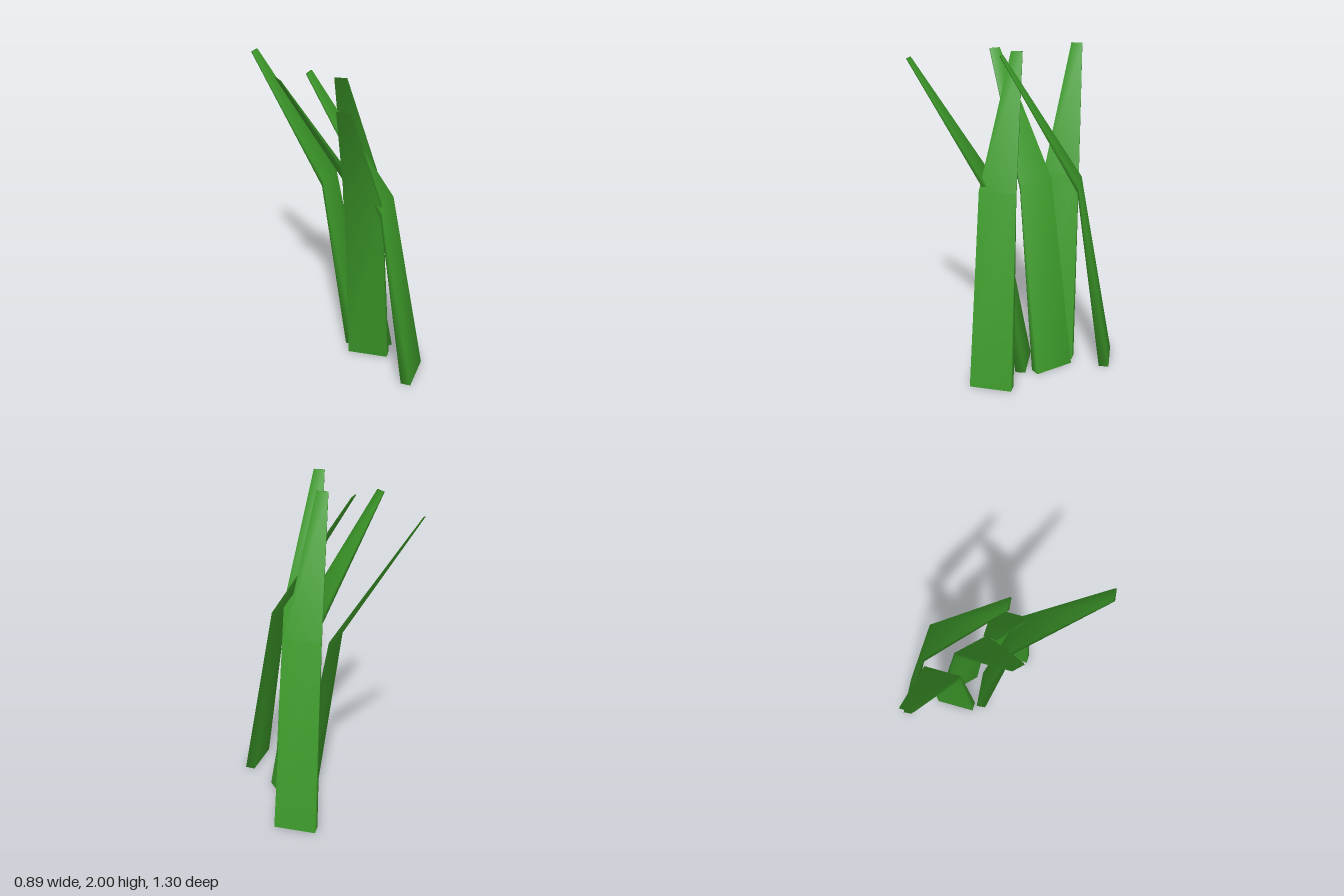
import * as THREE from 'three';

// Bent blade: rings run outer-left, inner-left, inner-right, outer-right.
// Local x is the width, local +z the direction in which the blade leans.
function bladeGeometry() {
  const rings = [
    { half: 0.134, outer: [0, 0], inner: [0.065, 0] },
    { half: 0.116, outer: [0.222, 1.225], inner: [0.232, 1.19] },
    { half: 0.037, outer: [0.711, 2], inner: [0.72, 2] },
  ];
  const positions = [];
  const index = [];
  for (const { half, outer, inner } of rings) {
    positions.push(-half, outer[1], outer[0], -half, inner[1], inner[0]);
    positions.push(half, inner[1], inner[0], half, outer[1], outer[0]);
  }
  // Sides
  for (let r = 0; r < rings.length - 1; r++) {
    for (let i = 0; i < 4; i++) {
      const a = r * 4 + i;
      const b = r * 4 + ((i + 1) % 4);
      index.push(a, b, b + 4, a, b + 4, a + 4);
    }
  }
  // Bottom and tip caps
  const top = (rings.length - 1) * 4;
  index.push(0, 2, 1, 0, 3, 2);
  index.push(top, top + 1, top + 2, top, top + 2, top + 3);

  const geometry = new THREE.BufferGeometry();
  geometry.setAttribute('position', new THREE.Float32BufferAttribute(positions, 3));
  geometry.setIndex(index);
  geometry.computeVertexNormals();
  return geometry;
}

export function createModel() {
  const group = new THREE.Group();
  group.name = 'grassTuft';
  const geometry = bladeGeometry();
  const material = new THREE.MeshStandardMaterial({ color: 0x3d9a2a, side: THREE.DoubleSide });

  // Foot position (x, z) and lean direction (x, z) of each blade
  const blades = [
    ['middleBlade', 0.27, -0.028, -1, 0],
    ['backOuterBlade', 0.343, -0.428, -0.65, 0.76],
    ['frontOuterBlade', 0.257, 0.452, -0.69, -0.725],
    ['frontInnerBlade', 0.11, 0.075, -0.65, 0.76],
    ['backInnerBlade', 0.134, -0.103, -0.69, -0.725],
  ];
  for (const [name, x, z, leanX, leanZ] of blades) {
    const blade = new THREE.Mesh(geometry, material);
    blade.name = name;
    blade.position.set(x, 0, z);
    blade.rotation.y = Math.atan2(leanX, leanZ);
    group.add(blade);
  }
  return group;
}
